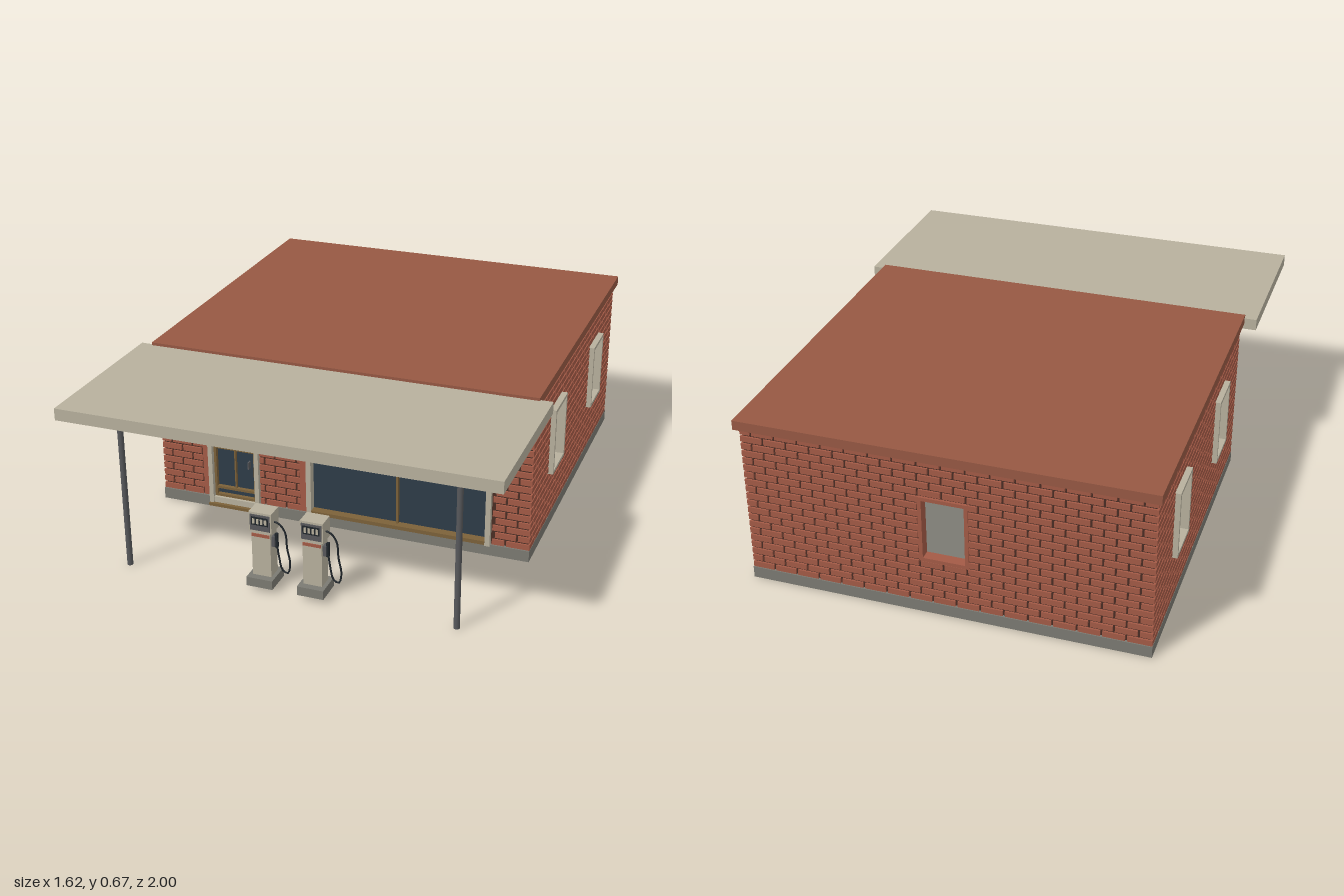
import * as THREE from 'three';
import { mergeGeometries } from 'three/addons/utils/BufferGeometryUtils.js';

const mat = (name, color) => Object.assign(new THREE.MeshStandardMaterial({ color }), { name });
const M = {
  brick: mat('brick red', 0xa35a46), mortar: mat('dark mortar', 0x4a2d24),
  roof: mat('roof red', 0x965843), cream: mat('cream paint', 0xb7b09d),
  concrete: mat('concrete grey', 0x7b7a72), glass: mat('dark glass', 0x2d3c48),
  wood: mat('brown wood', 0x7c6139), steel: mat('steel grey', 0x57585b),
  black: mat('black rubber', 0x20262b),
};

function add(parent, name, geometry, material) {
  const mesh = new THREE.Mesh(geometry, material);
  mesh.name = name;
  parent.add(mesh);
  return mesh;
}

// Box given by its limits on each axis
function boxGeo(x0, x1, y0, y1, z0, z1) {
  return new THREE.BoxGeometry(x1 - x0, y1 - y0, z1 - z0)
    .translate((x0 + x1) / 2, (y0 + y1) / 2, (z0 + z1) / 2);
}
const box = (parent, name, material, ...limits) => add(parent, name, boxGeo(...limits), material);

function group(parent, name) {
  const g = new THREE.Group();
  g.name = name;
  parent.add(g);
  return g;
}

// Four bars around an opening [x0, x1, y0, y1]
function frame(parent, name, material, [x0, x1, y0, y1], t, z0, z1) {
  const g = group(parent, name);
  for (const [a, b] of [[x0, x0 + t], [x1 - t, x1]]) box(g, name + 'Side', material, a, b, y0, y1, z0, z1);
  for (const [a, b] of [[y0, y0 + t], [y1 - t, y1]]) box(g, name + 'Rail', material, x0 + t, x1 - t, a, b, z0, z1);
}

const Y0 = 0.045, Y1 = 0.636, ROWS = 20;

// Raised running-bond bricks, left out where they meet a blank rectangle
function bricks(half, blanks) {
  const pitch = 0.088, row = (Y1 - Y0) / ROWS, parts = [];
  for (let r = 0; r < ROWS; r++) {
    const a = Y0 + r * row, b = a + row - 0.0075;
    const shift = r % 2 ? pitch / 2 : 0;
    for (let x = -half - shift; x < half; x += pitch) {
      let spans = [[Math.max(x, -half), Math.min(x + pitch - 0.008, half)]];
      for (const [x0, x1, y0, y1] of blanks) {
        if (b <= y0 || a >= y1) continue;
        spans = spans.flatMap(([p, q]) => [[p, Math.min(q, x0)], [Math.max(p, x1), q]]);
      }
      for (const [p, q] of spans) if (q - p > 0.006) parts.push(boxGeo(p, q, a, b, -0.002, 0.007));
    }
  }
  return mergeGeometries(parts);
}

// Wall with openings; local z = 0 is the mortar face, looking outward
function wall(parent, name, halfShell, halfBrick, holes, blanks) {
  const g = group(parent, name);
  const shape = new THREE.Shape();
  shape.moveTo(-halfShell, Y0).lineTo(halfShell, Y0).lineTo(halfShell, Y1).lineTo(-halfShell, Y1).closePath();
  for (const [x0, x1, y0, y1] of holes) {
    const h = new THREE.Path();
    h.moveTo(x0, y0).lineTo(x0, y1).lineTo(x1, y1).lineTo(x1, y0).closePath();
    shape.holes.push(h);
  }
  const shell = new THREE.ExtrudeGeometry(shape, { depth: 0.03, bevelEnabled: false }).translate(0, 0, -0.03);
  add(g, name + 'Mortar', shell, M.mortar);
  add(g, name + 'Bricks', bricks(halfBrick, blanks), M.brick);
  return g;
}

function frontWall(parent) {
  const door = [-0.54, -0.34, 0.046, 0.485], win = [-0.13, 0.6, 0.048, 0.54];
  const g = wall(parent, 'frontWall', 0.712, 0.748, [door, win],
    [[-0.575, -0.335, 0, 0.545], [-0.165, 0.605, 0, 0.56]]);
  // smooth brick surrounds
  for (const b of [[-0.575, -0.54, Y0, 0.545], [-0.54, -0.335, 0.485, 0.545],
    [-0.165, -0.13, Y0, 0.56], [-0.13, 0.605, 0.54, 0.56]]) box(g, 'brickSurround', M.brick, ...b, -0.002, 0.006);

  // shop window
  const w = group(g, 'shopWindow');
  box(w, 'shopGlass', M.glass, -0.13, 0.6, 0.048, 0.54, -0.02, -0.012);
  for (const x of [-0.135, 0.58]) box(w, 'windowJamb', M.cream, x, x + 0.02, 0.04, 0.545, -0.02, 0.02);
  box(w, 'windowHead', M.wood, -0.115, 0.58, 0.525, 0.54, -0.02, 0.018);
  box(w, 'windowSill', M.wood, -0.115, 0.58, 0.045, 0.06, -0.02, 0.022);
  box(w, 'windowMullion', M.wood, 0.226, 0.234, 0.06, 0.525, -0.015, 0.004);
  box(w, 'windowTransom', M.wood, -0.115, 0.58, 0.301, 0.309, -0.015, 0.004);

  // glazed door
  const d = group(g, 'door');
  box(d, 'doorGlass', M.glass, -0.54, -0.34, 0.046, 0.485, -0.02, -0.012);
  for (const x of [-0.547, -0.351]) box(d, 'doorJamb', M.cream, x, x + 0.018, 0.01, 0.492, -0.02, 0.022);
  box(d, 'doorHead', M.wood, -0.529, -0.351, 0.475, 0.486, -0.02, 0.02);
  box(d, 'doorStep', M.wood, -0.547, -0.335, 0.01, 0.022, 0, 0.03);
  box(d, 'doorKickboard', M.cream, -0.529, -0.351, 0.022, 0.046, 0, 0.016);
  for (const x of [-0.529, -0.361]) box(d, 'doorStile', M.wood, x, x + 0.01, 0.046, 0.475, -0.015, 0.004);
  for (const y of [0.046, 0.08, 0.255, 0.405]) box(d, 'doorRail', M.wood, -0.519, -0.361, y, y + 0.01, -0.015, 0.004);
  box(d, 'doorBar', M.wood, -0.443, -0.437, 0.09, 0.475, -0.015, 0.001);
  box(d, 'doorHandle', M.steel, -0.384, -0.379, 0.185, 0.215, -0.013, 0.008);
  return g;
}

function sideWall(parent, name) {
  const wins = [-0.325, 0.325].map(u => [u - 0.09, u + 0.09, 0.245, 0.51]);
  const g = wall(parent, name, 0.657, 0.664, wins, wins);
  for (const o of wins) {
    box(g, 'sideGlass', M.glass, ...o, -0.022, -0.014);
    frame(g, 'sideWindowFrame', M.cream, o, 0.013, -0.022, 0.026);
  }
  return g;
}

function backWall(parent) {
  const hole = [-0.08, 0.08, 0.23, 0.47];
  const rim = [-0.092, 0.092, 0.218, 0.482];
  const g = wall(parent, 'backWall', 0.712, 0.748, [hole], [rim]);
  frame(g, 'backOpeningRim', M.brick, rim, 0.014, -0.03, 0.01);
  return g;
}

function fuelPump(parent, x) {
  const p = group(parent, 'fuelPump');
  p.position.set(x, 0, 0.835);
  box(p, 'pumpBase', M.concrete, -0.05, 0.05, 0.02, 0.055, -0.05, 0.055);
  box(p, 'pumpBody', M.cream, -0.036, 0.036, 0.055, 0.235, -0.03, 0.028);
  box(p, 'pumpBand', M.brick, -0.034, 0.034, 0.212, 0.224, 0.026, 0.031);
  box(p, 'pumpHead', M.cream, -0.043, 0.043, 0.232, 0.31, -0.034, 0.032);
  box(p, 'pumpFace', M.steel, -0.038, 0.038, 0.24, 0.302, 0.031, 0.035);
  box(p, 'pumpDisplay', M.black, -0.032, 0.032, 0.262, 0.294, 0.034, 0.037);
  for (let i = 0; i < 4; i++) box(p, 'displayDigit', M.cream, -0.027 + i * 0.015, -0.018 + i * 0.015, 0.268, 0.288, 0.036, 0.039);
  // hose and nozzle on the pump's left side
  const pts = [[0.04, 0.27], [0.06, 0.265], [0.083, 0.235], [0.09, 0.17], [0.1, 0.11], [0.09, 0.07], [0.07, 0.08], [0.058, 0.13], [0.05, 0.19]];
  const curve = new THREE.CatmullRomCurve3(pts.map(([a, b]) => new THREE.Vector3(a, b, 0.005)));
  add(p, 'hose', new THREE.TubeGeometry(curve, 32, 0.0035, 6), M.black);
  box(p, 'nozzleHolder', M.steel, 0.036, 0.048, 0.175, 0.215, -0.008, 0.018);
  box(p, 'nozzle', M.black, 0.046, 0.056, 0.17, 0.225, 0, 0.012);
}

export function createModel() {
  const model = new THREE.Group();
  model.name = 'fillingStation';

  // hollow building
  const b = group(model, 'building');
  box(b, 'foundation', M.concrete, -0.75, 0.75, 0, 0.045, -0.983, 0.355);
  box(b, 'roof', M.roof, -0.763, 0.763, 0.634, 0.67, -1, 0.36);
  const place = (w, x, z, turn) => { w.position.set(x, 0, z); w.rotation.y = turn; };
  place(frontWall(b), 0, 0.342, 0);
  place(backWall(b), 0, -0.972, Math.PI);
  place(sideWall(b, 'leftWall'), 0.742, -0.315, Math.PI / 2);
  place(sideWall(b, 'rightWall'), -0.742, -0.315, -Math.PI / 2);

  // canopy on two posts
  const c = group(model, 'canopy');
  box(c, 'canopySlab', M.cream, -0.81, 0.81, 0.614, 0.659, 0.35, 1);
  for (const x of [-0.63, 0.63]) {
    add(c, 'canopyPost', new THREE.CylinderGeometry(0.011, 0.011, 0.614, 16), M.steel).position.set(x, 0.307, 0.87);
  }

  for (const x of [-0.1, 0.095]) fuelPump(model, x);
  return model;
}
